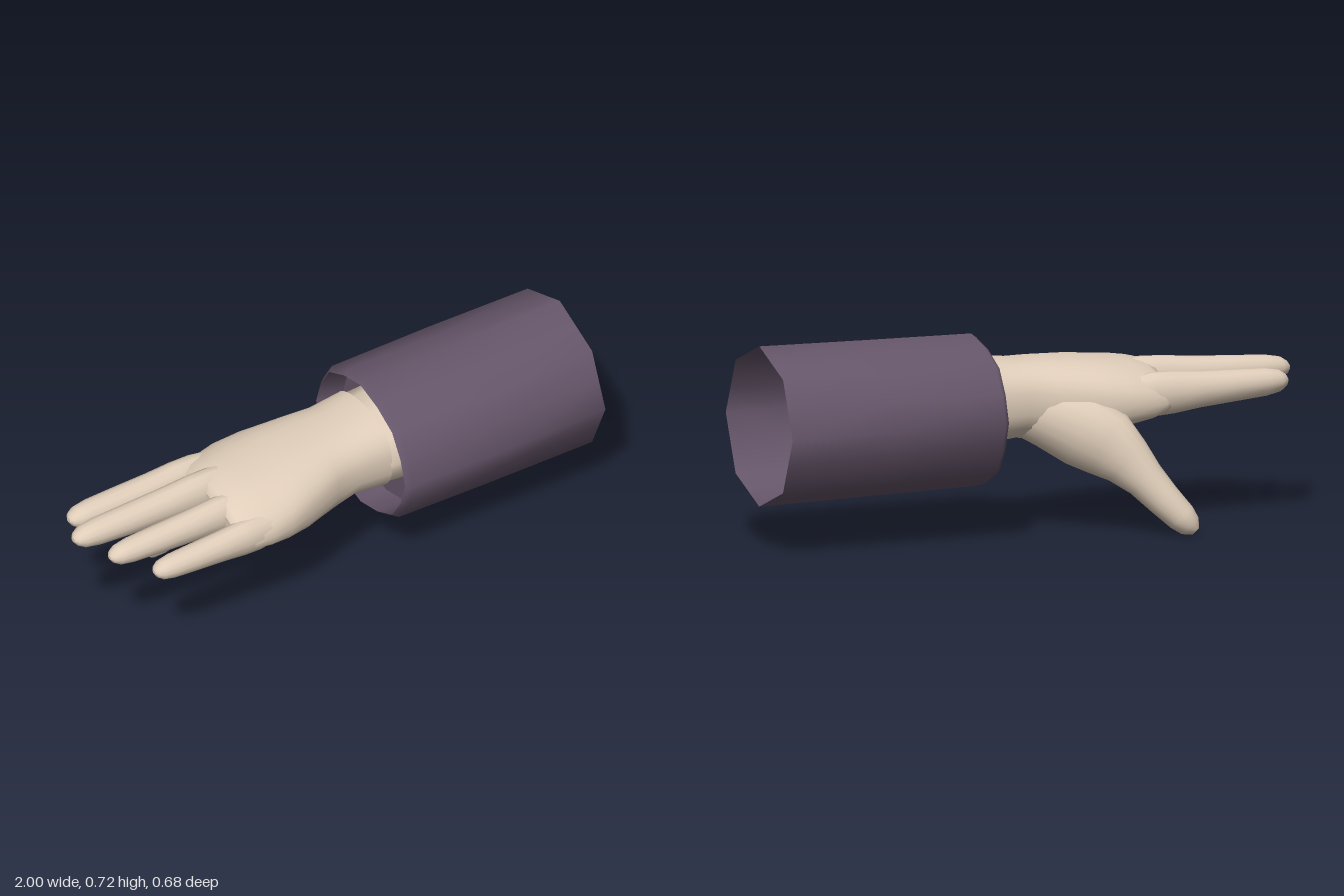
import * as THREE from 'three';

const skin = new THREE.MeshStandardMaterial({ color: 0xe0ceba, side: THREE.DoubleSide });
skin.name = 'skin';
const cloth = new THREE.MeshStandardMaterial({ color: 0x66566a, side: THREE.DoubleSide });
cloth.name = 'plum cloth';

// Loft of oval rings. Each section: [x, y, z, half height, half width, arch, facet]
// arch lowers the two side edges, facet flattens every second corner towards an octagon.
function loft(name, material, sections, { n = 20, power = 1, capEnd = false } = {}) {
  const centres = sections.map(s => new THREE.Vector3(s[0], s[1], s[2]));
  const up = new THREE.Vector3(0, 1, 0);
  const pos = [], idx = [];
  const bend = v => Math.sign(v) * Math.abs(v) ** power;
  const rings = sections.map(([, , , rv, ru, arch = 0, facet = 0], i) => {
    const t = centres[Math.min(i + 1, centres.length - 1)].clone()
      .sub(centres[Math.max(i - 1, 0)]).normalize();
    const u = up.clone().cross(t).normalize();
    const v = t.clone().cross(u);
    return Array.from({ length: n }, (_, j) => {
      const a = j / n * Math.PI * 2;
      const k = j % 2 ? 1 - facet * (1 - Math.cos(Math.PI * 2 / n)) : 1;
      const c = bend(Math.cos(a)), s = bend(Math.sin(a));
      return centres[i].clone().addScaledVector(u, ru * c * k)
        .addScaledVector(v, rv * s * k - arch * c * c);
    });
  });
  rings.forEach((ring, i) => ring.forEach((p, j) => {
    pos.push(p.x, p.y, p.z);
    if (i === rings.length - 1) return;
    const a = i * n + j, b = i * n + (j + 1) % n;
    idx.push(a, b, a + n, b, b + n, a + n);
  }));
  if (capEnd) {
    const ring = rings[rings.length - 1], base = pos.length / 3;
    const mid = ring.reduce((m, p) => m.add(p), new THREE.Vector3()).divideScalar(n);
    [mid, ...ring].forEach(p => pos.push(p.x, p.y, p.z));
    for (let j = 0; j < n; j++) idx.push(base, base + 1 + j, base + 1 + (j + 1) % n);
  }
  const g = new THREE.BufferGeometry();
  g.setAttribute('position', new THREE.Float32BufferAttribute(pos, 3));
  g.setIndex(idx);
  g.computeVertexNormals();
  const mesh = new THREE.Mesh(g, material);
  mesh.name = name;
  return mesh;
}

// Finger: deep at the knuckle, slimmer along its length, rounded at the tip
function finger(name, tip, z0, z1, y0, y1, r) {
  const at = (f, height, width) => [
    THREE.MathUtils.lerp(-0.3, tip, f),
    THREE.MathUtils.lerp(y0, y1, f),
    THREE.MathUtils.lerp(z0, z1, f), r * height, r * width];
  return loft(name, skin, [
    at(0, 1.1, 0.8), at(0.2, 1.42, 1), at(0.32, 1.36, 1.03), at(0.48, 1.16, 1),
    at(0.7, 1, 0.96), at(0.87, 0.88, 0.88), at(0.95, 0.7, 0.74),
    at(0.985, 0.42, 0.5), at(1, 0.15, 0.2)], { n: 14, capEnd: true });
}

export function createModel() {
  const model = new THREE.Group();
  const hand = new THREE.Group();
  hand.name = 'hand';
  const sleeve = new THREE.Group();
  sleeve.name = 'sleeve';
  model.add(hand, sleeve);

  // Palm, thinning towards the knuckles
  hand.add(loft('palm', skin, [
    [0.18, 0.468, 0.046, 0.152, 0.186],
    [0.05, 0.467, 0.048, 0.138, 0.178],
    [-0.05, 0.46, 0.05, 0.144, 0.195],
    [-0.2, 0.462, 0.06, 0.136, 0.235, 0.015],
    [-0.3, 0.472, 0.068, 0.117, 0.252, 0.03],
    [-0.38, 0.482, 0.078, 0.1, 0.248, 0.045],
    [-0.44, 0.488, 0.084, 0.083, 0.241, 0.05],
    [-0.475, 0.49, 0.085, 0.064, 0.232, 0.05],
    [-0.487, 0.49, 0.085, 0.035, 0.222, 0.05],
  ], { n: 32, power: 0.82, capEnd: true }));

  // Open wrist end, flaring through the back wall of the cuff
  hand.add(loft('wrist', skin, [
    [0.18, 0.467, 0.048, 0.154, 0.187],
    [0.28, 0.467, 0.05, 0.164, 0.191],
    [0.31, 0.467, 0.05, 0.183, 0.203],
  ], { n: 10 }));

  // Four fingers
  hand.add(
    finger('indexFinger', -0.94, -0.1, -0.095, 0.462, 0.48, 0.055),
    finger('middleFinger', -1.0, 0.033, 0.03, 0.5, 0.5, 0.055),
    finger('ringFinger', -0.93, 0.16, 0.155, 0.485, 0.475, 0.051),
    finger('littleFinger', -0.82, 0.276, 0.27, 0.448, 0.44, 0.049));

  // Thumb, with a broad root webbed into the palm
  hand.add(loft('thumb', skin, [
    [0.06, 0.45, 0.0, 0.09, 0.09],
    [-0.05, 0.415, -0.05, 0.115, 0.1],
    [-0.16, 0.36, -0.105, 0.13, 0.1],
    [-0.235, 0.315, -0.15, 0.123, 0.088],
    [-0.295, 0.255, -0.19, 0.094, 0.074],
    [-0.348, 0.192, -0.225, 0.071, 0.065],
    [-0.403, 0.124, -0.258, 0.061, 0.06],
    [-0.458, 0.062, -0.288, 0.053, 0.054],
    [-0.484, 0.032, -0.303, 0.041, 0.043],
    [-0.501, 0.013, -0.313, 0.016, 0.017],
  ], { n: 18, capEnd: true }));

  // Outer cloth tube, open at the arm end
  sleeve.add(loft('sleeveShell', cloth, [
    [0.18, 0.434, 0.032, 0.255, 0.288, 0, 0.4],
    [0.2, 0.434, 0.032, 0.27, 0.305, 0, 0.4],
    [0.6, 0.434, 0.03, 0.276, 0.306, 0, 0.7],
    [1, 0.434, 0.03, 0.283, 0.295, 0, 1],
  ], { n: 16 }));

  // Turned-in cuff lining with its back wall across the wrist
  sleeve.add(loft('cuffLining', cloth, [
    [0.18, 0.434, 0.032, 0.255, 0.288, 0, 0.4],
    [0.285, 0.434, 0.032, 0.247, 0.28, 0, 0.4],
  ], { n: 16, capEnd: true }));

  return model;
}
